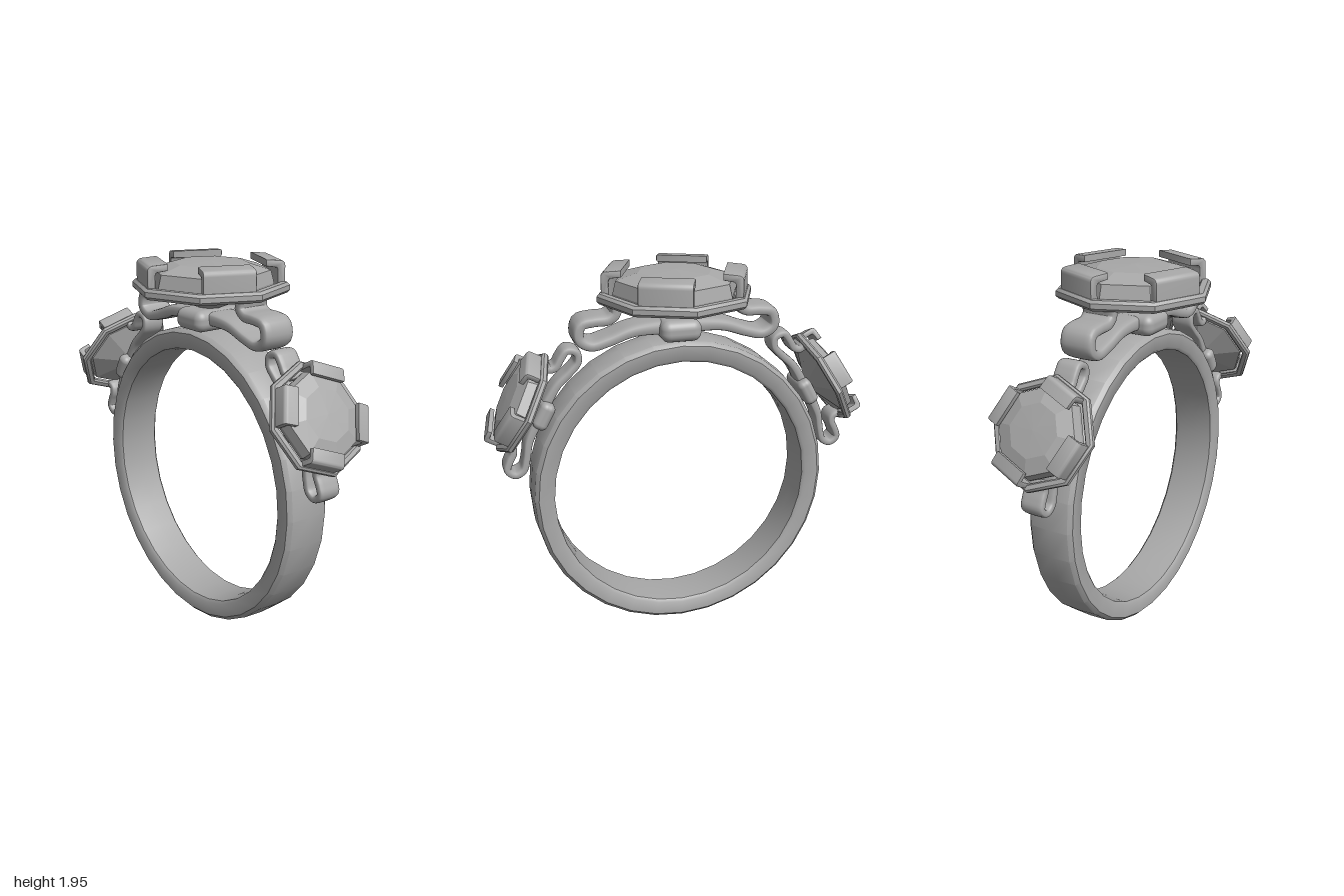
import * as THREE from 'three';
import { toCreasedNormals } from 'three/addons/utils/BufferGeometryUtils.js';
import { RoundedBoxGeometry } from 'three/addons/geometries/RoundedBoxGeometry.js';

const metal = new THREE.MeshStandardMaterial({ color: 0xa8a8a8 });
metal.name = 'grey metal';

function part(name, geometry) {
  const mesh = new THREE.Mesh(geometry, metal);
  mesh.name = name;
  return mesh;
}

// Revolved profile of [radius, y] pairs, outer side going up
function lathe(points, sides, crease) {
  const profile = points.map(([r, y]) => new THREE.Vector2(r, y));
  return toCreasedNormals(new THREE.LatheGeometry(profile, sides), crease);
}

// Flat rounded strip swept along a path in the xy plane
function ribbon(points, width, thickness) {
  const curve = new THREE.CatmullRomCurve3(points.map(([x, y]) => new THREE.Vector3(x, y, 0)));
  const steps = 110, around = 20, pos = [], index = [];
  const soft = (v) => Math.sign(v) * Math.sqrt(Math.abs(v));
  for (let i = -1; i <= steps + 1; i++) {
    const u = THREE.MathUtils.clamp(i / steps, 0, 1);
    const p = curve.getPointAt(u), t = curve.getTangentAt(u);
    const size = i < 0 || i > steps ? 0 : 1; // closed ends
    const thick = thickness * (1 + 0.35 * Math.exp(-((p.x / 0.22) ** 2)));
    for (let j = 0; j < around; j++) {
      const a = (j / around) * Math.PI * 2;
      const n = size * soft(Math.cos(a)) * thick / 2;
      pos.push(p.x - t.y * n, p.y + t.x * n, size * soft(Math.sin(a)) * width / 2);
    }
  }
  for (let i = 0; i < steps + 2; i++) {
    for (let j = 0; j < around; j++) {
      const a = i * around + j, b = i * around + (j + 1) % around;
      index.push(a, b, a + around, b, b + around, a + around);
    }
  }
  const g = new THREE.BufferGeometry();
  g.setAttribute('position', new THREE.Float32BufferAttribute(pos, 3));
  g.setIndex(index);
  g.computeVertexNormals();
  return g;
}

// Hooked claw: a wall that bends in over the stone
function clawGeometry() {
  const s = new THREE.Shape();
  s.moveTo(0.347, 0.15);
  s.lineTo(0.347, 0.265);
  s.quadraticCurveTo(0.347, 0.285, 0.325, 0.287);
  s.lineTo(0.258, 0.293);
  s.lineTo(0.258, 0.272);
  s.lineTo(0.305, 0.265);
  s.quadraticCurveTo(0.32, 0.262, 0.32, 0.24);
  s.lineTo(0.32, 0.15);
  s.closePath();
  const length = 0.25;
  const g = new THREE.ExtrudeGeometry(s, {
    depth: length, bevelThickness: 0.008, bevelSize: 0.007, bevelSegments: 2, curveSegments: 5,
  });
  g.translate(0, 0, -length / 2);
  return toCreasedNormals(g, 0.7);
}

// One complete stone with its mount, origin at the knot
function createSetting(name) {
  const group = new THREE.Group();
  group.name = name;

  // Looped ribbon mount
  const half = [[0.12, 0.01], [0.24, 0.0], [0.36, -0.04], [0.45, -0.058], [0.508, -0.02],
    [0.495, 0.05], [0.43, 0.065], [0.355, 0.07], [0.32, 0.1], [0.325, 0.15]];
  const left = half.map(([x, y]) => [-x, y]).reverse();
  group.add(part('bowRibbon', ribbon([...left, [0, 0.005], ...half], 0.18, 0.058)));
  group.add(part('knot', new RoundedBoxGeometry(0.21, 0.11, 0.31, 4, 0.045)));

  // Octagonal rim
  group.add(part('rim', lathe([[0.355, 0.133], [0.388, 0.133], [0.402, 0.147], [0.402, 0.172],
    [0.388, 0.186], [0.355, 0.186], [0.343, 0.172], [0.343, 0.147], [0.355, 0.133]], 8, 0.6)));

  // Faceted stone
  group.add(part('stone', lathe([[0, 0.03], [0.318, 0.15], [0.322, 0.18], [0.305, 0.245],
    [0.19, 0.28], [0, 0.287]], 8, 0.05)));

  // Four claws, each on alternate sides of the octagon
  const claw = clawGeometry();
  for (let i = 0; i < 4; i++) {
    const mesh = part('claw', claw);
    mesh.rotation.y = -Math.PI / 8 + i * Math.PI / 2;
    group.add(mesh);
  }
  return group;
}

export function createModel() {
  const model = new THREE.Group();
  model.name = 'ring';

  // Finger band
  const band = part('band', lathe([[0.69, -0.112], [0.705, -0.125], [0.775, -0.125], [0.795, -0.105],
    [0.8, 0], [0.795, 0.105], [0.775, 0.125], [0.705, 0.125], [0.69, 0.112], [0.685, 0],
    [0.69, -0.112]], 32, 0.75));
  band.geometry.rotateX(Math.PI / 2);
  band.scale.x = 0.985;
  band.position.set(-0.003, 0.805, 0);
  model.add(band);

  // Centre setting
  const centre = createSetting('centreSetting');
  centre.position.set(0.005, 1.657, 0);
  model.add(centre);

  // Smaller settings on both shoulders
  for (const side of [-1, 1]) {
    const setting = createSetting(side > 0 ? 'leftSetting' : 'rightSetting');
    setting.scale.setScalar(0.7);
    setting.position.set(side * 0.705, 1.257, 0);
    setting.rotation.z = -side * THREE.MathUtils.degToRad(61.5);
    model.add(setting);
  }
  return model;
}
